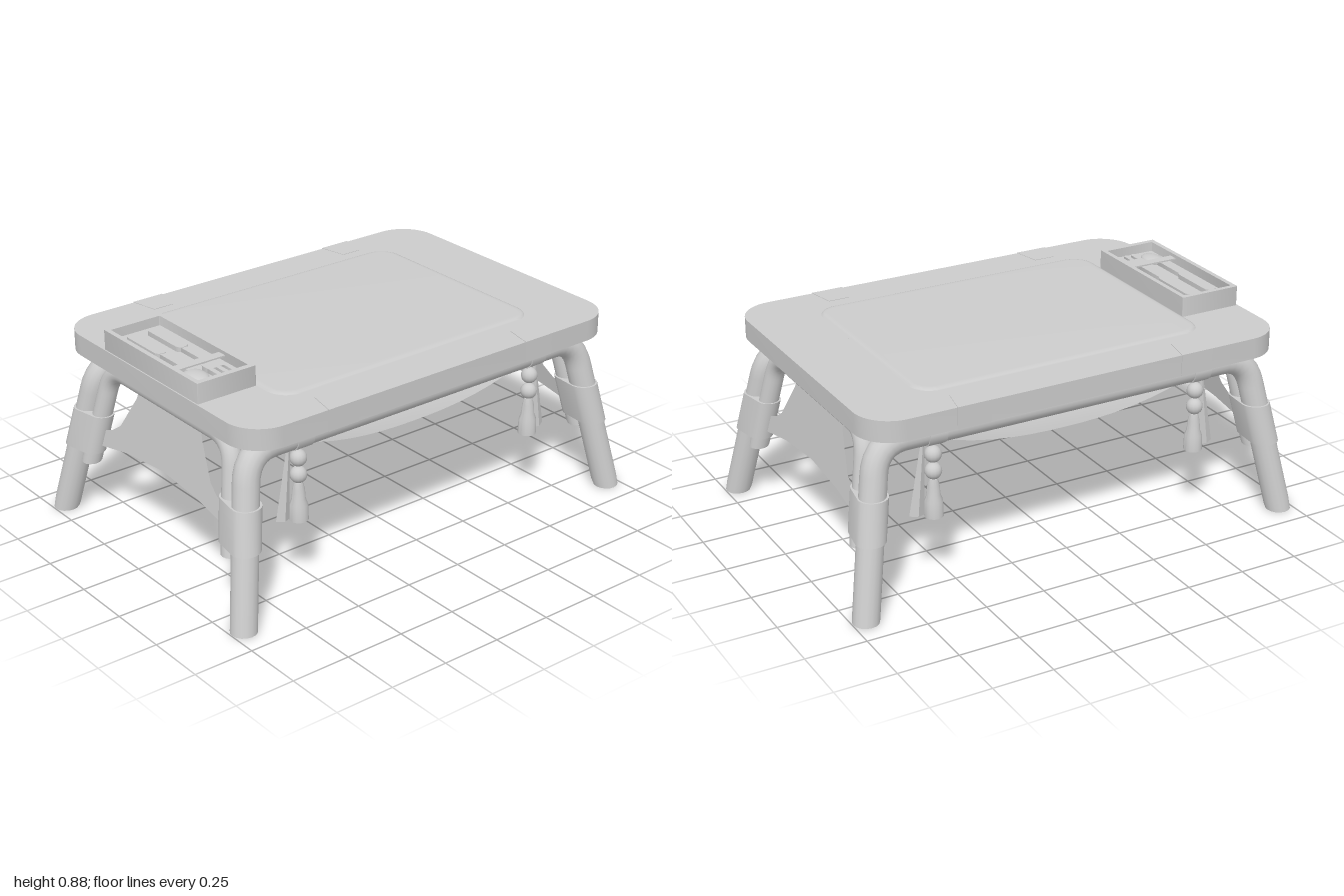
import * as THREE from 'three';
import { toCreasedNormals } from 'three/addons/utils/BufferGeometryUtils.js';

const mat = new THREE.MeshStandardMaterial({ color: 0xcccccc });
const thinMat = new THREE.MeshStandardMaterial({ color: 0xcccccc, side: THREE.DoubleSide });
const V = (x, y, z) => new THREE.Vector3(x, y, z);
const LEAN_X = 0.18, LEAN_Z = 0.19; // leg lean per unit of height

export function createModel() {
  const model = new THREE.Group();

  function add(name, geo, x = 0, y = 0, z = 0, parent = model, material = mat) {
    const mesh = new THREE.Mesh(geo, material);
    mesh.name = name;
    mesh.position.set(x, y, z);
    parent.add(mesh);
    return mesh;
  }

  // Shape drawn in (x, z), extruded upward from y0
  function plate(shape, y0, h, bevel = 0) {
    const geo = new THREE.ExtrudeGeometry(shape, {
      depth: h - bevel, bevelEnabled: bevel > 0, bevelThickness: bevel,
      bevelSize: bevel * 3, bevelOffset: -bevel * 3, bevelSegments: 3, curveSegments: 6,
    });
    geo.rotateX(Math.PI / 2);
    geo.translate(0, y0 + h - bevel, 0);
    return toCreasedNormals(geo, 0.6);
  }

  function roundRect(x0, z0, x1, z1, r) {
    const s = new THREE.Shape();
    s.absarc(x1 - r, z1 - r, r, 0, Math.PI / 2);
    s.absarc(x0 + r, z1 - r, r, Math.PI / 2, Math.PI);
    s.absarc(x0 + r, z0 + r, r, Math.PI, Math.PI * 1.5);
    s.absarc(x1 - r, z0 + r, r, Math.PI * 1.5, Math.PI * 2);
    s.closePath();
    return s;
  }

  const polygon = (pts) => new THREE.Shape(pts.map(([x, y]) => new THREE.Vector2(x, y)));

  // Bent pipe through four corners, with level-cut, capped ends
  function bentPipe(name, [a, b, c, d], radius, bend) {
    const toward = (p, q) => p.clone().add(q.clone().sub(p).setLength(bend));
    const b0 = toward(b, a), b1 = toward(b, c), c0 = toward(c, b), c1 = toward(c, d);
    const path = new THREE.CurvePath();
    path.add(new THREE.LineCurve3(a, b0));
    path.add(new THREE.QuadraticBezierCurve3(b0, b, b1));
    path.add(new THREE.LineCurve3(b1, c0));
    path.add(new THREE.QuadraticBezierCurve3(c0, c, c1));
    path.add(new THREE.LineCurve3(c1, d));
    const radial = 16;
    const geo = new THREE.TubeGeometry(path, 90, radius, radial);
    const pos = geo.attributes.position;
    for (let i = 0; i <= radial; i++) {
      pos.setY(i, a.y);
      pos.setY(pos.count - 1 - i, d.y);
    }
    const group = new THREE.Group();
    group.name = name;
    model.add(group);
    add('pipe', geo, 0, 0, 0, group);
    for (const end of [a, d]) {
      add('pipeEnd', new THREE.CircleGeometry(radius, radial).rotateX(Math.PI / 2), end.x, end.y, end.z, group);
    }
  }

  // Table top and raised centre panel
  add('tableTop', plate(roundRect(-0.91, -0.645, 0.91, 0.645, 0.15), 0.715, 0.087));
  add('centrePanel', plate(roundRect(-0.64, -0.475, 0.63, 0.468, 0.09), 0.795, 0.015, 0.008));

  // Straps folded over the long edges of the top
  for (const sx of [-1, 1]) for (const sz of [-1, 1]) {
    const x = sx * 0.49;
    add('edgeStrap', plate(polygon([
      [x - 0.07, sz * 0.648], [x + 0.07, sz * 0.648], [x + 0.045, sz * 0.53], [x - 0.045, sz * 0.53],
    ]), 0.8, 0.004));
    add('edgeStrapDrop', new THREE.BoxGeometry(0.14, 0.088, 0.004), x, 0.759, sz * 0.646);
  }

  // Long frames with legs, and short frames across the ends
  for (const s of [-1, 1]) {
    bentPipe(s > 0 ? 'frontFrame' : 'backFrame', [
      V(-0.945, 0, s * 0.625), V(-0.826, 0.66, s * 0.5), V(0.826, 0.66, s * 0.5), V(0.945, 0, s * 0.625),
    ], 0.053, 0.12);
    bentPipe(s > 0 ? 'leftFrame' : 'rightFrame', [
      V(s * 0.895, 0.25, -0.485), V(s * 0.82, 0.67, -0.405), V(s * 0.82, 0.67, 0.405), V(s * 0.895, 0.25, 0.485),
    ], 0.04, 0.1);
  }

  // Sleeves binding each leg to the end frame
  for (const sx of [-1, 1]) for (const sz of [-1, 1]) {
    const pts = [];
    for (let i = 0; i < 24; i++) {
      const t = ((i + 0.5) / 24) * Math.PI * 2;
      const outer = i < 12, r = outer ? 0.062 : 0.048;
      pts.push([
        sx * ((outer ? 0.945 : 0.94) + r * Math.cos(t)),
        sz * ((outer ? 0.625 : 0.5325) + r * Math.sin(t)),
      ]);
    }
    const geo = plate(polygon(pts), 0.3, 0.165);
    const p = geo.attributes.position;
    for (let i = 0; i < p.count; i++) {
      const y = p.getY(i);
      p.setX(i, p.getX(i) - sx * LEAN_X * y);
      p.setZ(i, p.getZ(i) - sz * LEAN_Z * y);
    }
    add('legSleeve', toCreasedNormals(geo, 0.6));
  }

  // Stretched fabric panels under the end frames
  for (const s of [-1, 1]) {
    const half = [[0.2, 0.66], [0.225, 0.6], [0.31, 0.46], [0.36, 0.425], [0.44, 0.395], [0.45, 0.33], [0.41, 0.337], [0.24, 0.37]];
    const outline = [...half, [0, 0.39], ...half.map(([z, y]) => [-z, y]).reverse()];
    const geo = new THREE.ShapeGeometry(polygon(outline));
    const p = geo.attributes.position;
    for (let i = 0; i < p.count; i++) {
      const z = p.getX(i), y = p.getY(i);
      p.setXYZ(i, s * (0.82 + (0.67 - y) * LEAN_X), y, z);
    }
    geo.computeVertexNormals();
    add('endFabric', geo, 0, 0, 0, model, thinMat);
  }

  // Hammock sagging beneath the top
  const hammock = new THREE.PlaneGeometry(1.12, 0.94, 14, 14).rotateX(-Math.PI / 2);
  const hp = hammock.attributes.position;
  for (let i = 0; i < hp.count; i++) {
    const u = 1 - Math.abs(hp.getX(i) / 0.56) ** 2.4;
    const v = 1 - (hp.getZ(i) / 0.48) ** 2;
    hp.setY(i, 0.605 - 0.08 * u - v * (0.055 + 0.02 * u));
  }
  hammock.computeVertexNormals();
  add('hammock', hammock, 0, 0, 0, model, thinMat);

  // Beaded tassels and leaf strips tied to the long rails
  const tasselProfile = [[0, 0.46], [0.016, 0.458], [0.024, 0.43], [0.027, 0.39], [0.036, 0.365], [0.038, 0.3], [0, 0.3]]
    .reverse().map(([r, y]) => new THREE.Vector2(r, y));
  for (const sx of [-1, 1]) for (const sz of [-1, 1]) {
    const tassel = new THREE.Group();
    tassel.name = 'tassel';
    tassel.position.set(sx * 0.59, 0, sz * 0.5);
    model.add(tassel);
    add('railLoop', new THREE.CylinderGeometry(0.057, 0.057, 0.075, 16).rotateZ(Math.PI / 2), 0, 0.66, 0, tassel);
    for (const y of [0.56, 0.49]) add('bead', new THREE.SphereGeometry(0.034, 14, 10), 0, y, 0, tassel);
    add('tasselSkirt', toCreasedNormals(new THREE.LatheGeometry(tasselProfile, 14), 0.6), 0, 0, 0, tassel);
    const strip = add('leafStrip', toCreasedNormals(new THREE.CylinderGeometry(0.008, 0.032, 0.3, 4), 0.3),
      sx * 0.052, 0.46, -sz * 0.012, tassel);
    strip.scale.z = 0.5;
    strip.rotation.z = sx * 0.1;
  }

  // Cutlery tray
  const tray = new THREE.Group();
  tray.name = 'cutleryTray';
  model.add(tray);
  const rim = roundRect(-0.905, -0.32, -0.64, 0.312, 0.004);
  rim.holes.push(roundRect(-0.885, -0.3, -0.66, 0.288, 0.004));
  add('trayWalls', plate(rim, 0.8, 0.085), 0, 0, 0, tray);
  add('trayFloor', new THREE.BoxGeometry(0.24, 0.045, 0.6), -0.7725, 0.8225, -0.005, tray);
  add('holdingBand', new THREE.BoxGeometry(0.225, 0.006, 0.04), -0.7725, 0.868, 0.122, tray);

  // Spoon and fork: shared handle, different heads
  function handle(x) {
    add('handle', plate(roundRect(x - 0.025, -0.26, x + 0.025, -0.03, 0.024), 0.845, 0.02), 0, 0, 0, tray);
    add('neck', plate(roundRect(x - 0.013, -0.06, x + 0.013, 0.16, 0.006), 0.845, 0.018), 0, 0, 0, tray);
  }
  const spoonX = -0.825, forkX = -0.728;
  handle(spoonX);
  handle(forkX);
  const bowl = add('spoonBowl', new THREE.SphereGeometry(1, 20, 12), spoonX, 0.85, 0.19, tray);
  bowl.scale.set(0.043, 0.017, 0.062);
  add('forkHead', plate(roundRect(forkX - 0.045, 0.14, forkX + 0.045, 0.195, 0.015), 0.845, 0.018), 0, 0, 0, tray);
  for (const dx of [-0.034, 0, 0.034]) {
    add('forkTine', plate(roundRect(forkX + dx - 0.01, 0.17, forkX + dx + 0.01, 0.252, 0.009), 0.845, 0.018), 0, 0, 0, tray);
  }

  return model;
}
